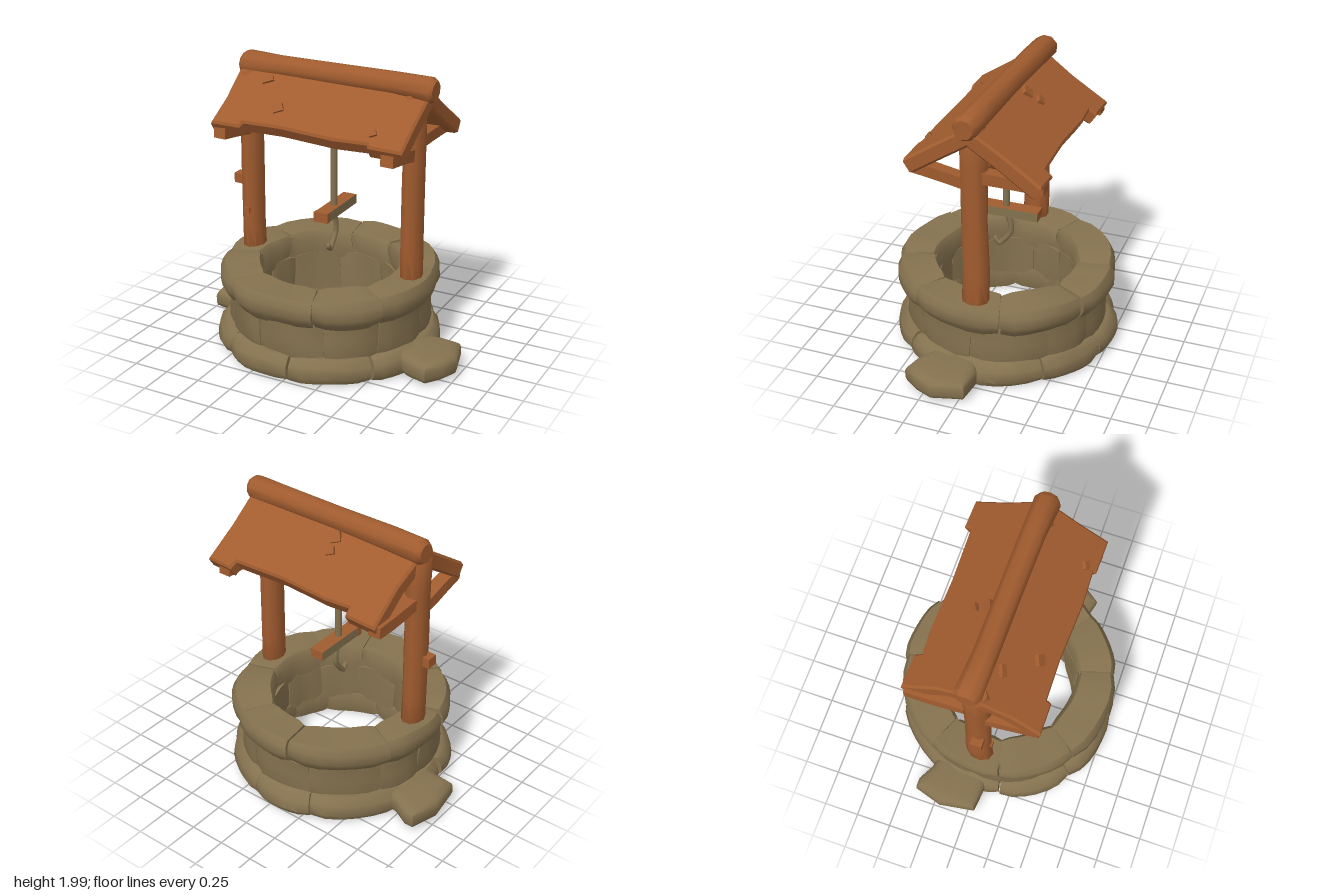
import * as THREE from 'three';
import { toCreasedNormals } from 'three/addons/utils/BufferGeometryUtils.js';

export function createModel() {
  const model = new THREE.Group();
  const wood = new THREE.MeshStandardMaterial({ color: 0xa15c2f });
  const stone = new THREE.MeshStandardMaterial({ color: 0x85724f });
  wood.name = 'wood';
  stone.name = 'stone';

  function add(name, geometry, material, parent = model) {
    const mesh = new THREE.Mesh(geometry, material);
    mesh.name = name;
    parent.add(mesh);
    return mesh;
  }

  // Gentle hand-carved wobble; equal positions always move equally
  function wobble(geo, amount, seed = 0) {
    const p = geo.attributes.position;
    for (let i = 0; i < p.count; i++) {
      const x = p.getX(i), y = p.getY(i), z = p.getZ(i);
      p.setXYZ(i,
        x + amount * Math.sin(13 * y + 9 * z + seed),
        y + amount * Math.sin(11 * x + 7 * z + seed * 2),
        z + amount * Math.sin(12 * x + 10 * y + seed * 3));
    }
    return toCreasedNormals(geo, 0.85);
  }

  // Rough log along its own y axis, thicker at the ends by flare
  function log(radius, length, flare, seed) {
    const profile = [[0, -0.5], [0.8, -0.5], [1 + flare, -0.475], [1, -0.3], [0.97, 0],
      [1, 0.3], [1 + flare, 0.475], [0.8, 0.5], [0, 0.5]]
      .map(([r, y]) => new THREE.Vector2(r * radius, y * length));
    return wobble(new THREE.LatheGeometry(profile, 9), 0.005, seed);
  }

  // One curved stone: a closed profile swept round an arc, pinched shut at both ends
  function curvedStone(profile, start, sweep, grow, seed) {
    const cols = 8, n = profile.length;
    const pts = profile.map(([r, y]) => new THREE.Vector2(r, y));
    const geo = new THREE.LatheGeometry(pts, cols);
    const centre = pts.slice(0, -1).reduce((c, p) => c.add(p), new THREE.Vector2())
      .divideScalar(n - 1);
    const p = geo.attributes.position;
    for (let i = 0; i <= cols; i++) {
      const edge = Math.min(i, cols - i);
      const size = [0, 0.88, 0.985, 1, 1][edge];
      const t = Math.min(Math.max(i - 1, 0), cols - 2) / (cols - 2);
      const a = start + sweep * t;
      for (let j = 0; j < n; j++) {
        const dr = (pts[j].x - centre.x) * size;
        const r = centre.x + dr * (dr > 0 ? 1 + grow : 1);
        const y = centre.y + (pts[j].y - centre.y) * size;
        p.setXYZ(i * n + j, r * Math.sin(a), y, r * Math.cos(a));
      }
    }
    return wobble(geo, 0.006, seed);
  }

  // Well wall: three courses of stones
  const wall = new THREE.Group();
  wall.name = 'wellWall';
  wall.position.x = -0.035;
  model.add(wall);
  const courses = [
    { name: 'baseStone', count: 9, offset: 0.1, grow: 0.06, profile: [[0.49, 0.01], [0.75, 0.01],
      [0.78, 0.06], [0.765, 0.13], [0.72, 0.18], [0.49, 0.18], [0.47, 0.1], [0.49, 0.01]] },
    { name: 'middleStone', count: 10, offset: 0.35, grow: 0.02, profile: [[0.48, 0.14], [0.69, 0.14],
      [0.705, 0.2], [0.7, 0.3], [0.705, 0.42], [0.48, 0.43], [0.475, 0.3], [0.48, 0.14]] },
    { name: 'rimStone', count: 8, offset: 0.25, grow: 0.04, profile: [[0.49, 0.39], [0.7, 0.39],
      [0.74, 0.44], [0.76, 0.48], [0.76, 0.55], [0.73, 0.6], [0.5, 0.6], [0.47, 0.55], [0.49, 0.39]] },
  ];
  courses.forEach((c, k) => {
    const step = (Math.PI * 2) / c.count;
    for (let i = 0; i < c.count; i++) {
      const start = c.offset + i * step + 0.09 * Math.sin(i * 2.3 + k);
      const end = c.offset + (i + 1) * step + 0.09 * Math.sin(((i + 1) % c.count) * 2.3 + k);
      const grow = c.grow * Math.sin(i * 1.9 + k);
      add(c.name, curvedStone(c.profile, start, end - start - 0.008, grow, i + k * 5), stone, wall);
    }
  });
  // Mortar core closes the joints between stones
  const core = [[0.5, 0.03], [0.68, 0.03], [0.68, 0.57], [0.5, 0.57], [0.5, 0.03]]
    .map(([r, y]) => new THREE.Vector2(r, y));
  add('mortarCore', toCreasedNormals(new THREE.LatheGeometry(core, 32), 0.6), stone, wall);

  // Loose stones lying at both sides
  function looseStone(name, outline, y) {
    const shape = new THREE.Shape(outline.map(([x, z]) => new THREE.Vector2(x, -z)));
    const geo = new THREE.ExtrudeGeometry(shape, { depth: 0.05, bevelThickness: 0.05,
      bevelSize: 0.06, bevelOffset: -0.06, bevelSegments: 3 });
    geo.rotateX(-Math.PI / 2);
    add(name, toCreasedNormals(geo, 0.8), stone).position.y = y + 0.05;
  }
  looseStone('rightLooseStone', [[-0.6, -0.3], [-0.76, -0.34], [-0.87, -0.4], [-0.94, -0.4],
    [-1, -0.2], [-0.96, 0.05], [-0.78, 0.07], [-0.6, 0.04]], 0.02);
  looseStone('leftLooseStone', [[0.55, 0.25], [0.72, 0.36], [0.87, 0.4], [0.95, 0.29],
    [1, 0.17], [0.94, -0.05], [0.76, -0.07], [0.55, 0]], 0.015);

  // Posts, with a tie beam through the head of each
  for (const [name, x] of [['rightPost', -0.647], ['leftPost', 0.577]]) {
    const post = add(name, log(0.085, 1.34, 0.02, x * 5), wood);
    post.position.set(x, 1.2, 0);
    post.scale.set(0.88, 1, 1.1);
    for (const [z, y, tilt] of [[0.22, 1.5, -0.17], [-0.27, 1.53, 0]]) {
      const tie = add('tieBeam', wobble(new THREE.BoxGeometry(0.09, 0.08, 0.4, 1, 1, 3), 0.005, z), wood);
      tie.position.set(x, y, z);
      tie.rotation.x = tilt;
    }
  }
  const peg = add('postPeg', new THREE.BoxGeometry(0.08, 0.07, 0.08), wood);
  peg.position.set(-0.725, 1.085, 0.02);
  const knot = add('postKnot', new THREE.BoxGeometry(0.04, 0.04, 0.02), wood);
  knot.position.set(-0.65, 0.87, 0.09);

  // Beam between the posts
  const beam = add('crossBeam', wobble(new THREE.BoxGeometry(1.3, 0.09, 0.1, 8, 1, 1), 0.004, 2), wood);
  beam.position.set(-0.03, 1.488, 0);

  // Roof slabs with notched eaves: outline is [x, distance down the slope]
  function roofSlab(name, turn, outline, chips) {
    const side = new THREE.Group();
    side.name = name;
    side.position.y = 1.905;
    side.rotation.y = turn;
    model.add(side);
    const slope = new THREE.Group();
    slope.rotation.x = -0.985;
    side.add(slope);
    const shape = new THREE.Shape(outline.map(([x, s]) => new THREE.Vector2(x, -s)));
    const geo = new THREE.ExtrudeGeometry(shape, { depth: 0.08, bevelThickness: 0.015,
      bevelSize: 0.015, bevelOffset: -0.015, bevelSegments: 1 });
    geo.translate(0, 0, -0.095);
    add(name + 'Boards', toCreasedNormals(geo, 0.5), wood, slope);
    for (const [x, s, w, h] of chips) {
      const chip = add('splinter', new THREE.BoxGeometry(w, h, 0.03), wood, slope);
      chip.position.set(x, -s, 0.008);
      chip.rotation.set(0.25, 0.1, 0.5);
    }
  }
  roofSlab('frontRoof', 0, [[-0.71, 0.02], [-0.69, 0.3], [-0.7, 0.53], [-0.48, 0.53], [-0.47, 0.49],
    [-0.2, 0.485], [0.2, 0.51], [0.44, 0.5], [0.45, 0.525], [0.69, 0.53], [0.69, 0.3], [0.7, 0.02]],
    [[-0.27, 0.34, 0.07, 0.06], [-0.45, 0.12, 0.08, 0.04], [0.45, 0.42, 0.05, 0.04]]);
  roofSlab('backRoof', Math.PI, [[-0.7, 0.02], [-0.69, 0.3], [-0.7, 0.59], [-0.5, 0.6], [-0.49, 0.54],
    [-0.1, 0.53], [0.25, 0.55], [0.43, 0.54], [0.44, 0.6], [0.67, 0.61], [0.66, 0.3], [0.69, 0.02]],
    [[0.08, 0.14, 0.07, 0.07], [0.1, 0.24, 0.06, 0.05]]);

  // Ridge log
  const ridge = add('ridgeLog', log(0.082, 1.45, 0.09, 1), wood);
  ridge.position.set(0.005, 1.905, -0.015);
  ridge.rotation.set(0, -0.03, Math.PI / 2);

  // Rope, bucket bar and hook
  const rope = add('rope', new THREE.CylinderGeometry(0.025, 0.025, 0.5, 8), stone);
  rope.position.set(-0.01, 1.22, 0);
  const bar = add('hangingBar', new THREE.BoxGeometry(0.1, 0.065, 0.43),
    [stone, stone, wood, stone, wood, wood]);
  bar.position.set(-0.01, 0.968, -0.025);
  const cap = add('barEnd', new THREE.BoxGeometry(0.104, 0.069, 0.04), wood);
  cap.position.set(-0.01, 0.968, 0.172);
  const hookPath = new THREE.CatmullRomCurve3([[0.95, 0], [0.87, -0.03], [0.79, -0.03],
    [0.72, 0.02], [0.69, 0.05], [0.72, 0.08]].map(([y, z]) => new THREE.Vector3(-0.012, y, z)));
  add('hook', new THREE.TubeGeometry(hookPath, 16, 0.02, 6), stone);
  const hookTip = add('hookTip', new THREE.SphereGeometry(0.02, 6, 5), stone);
  hookTip.position.set(-0.012, 0.72, 0.08);

  return model;
}
